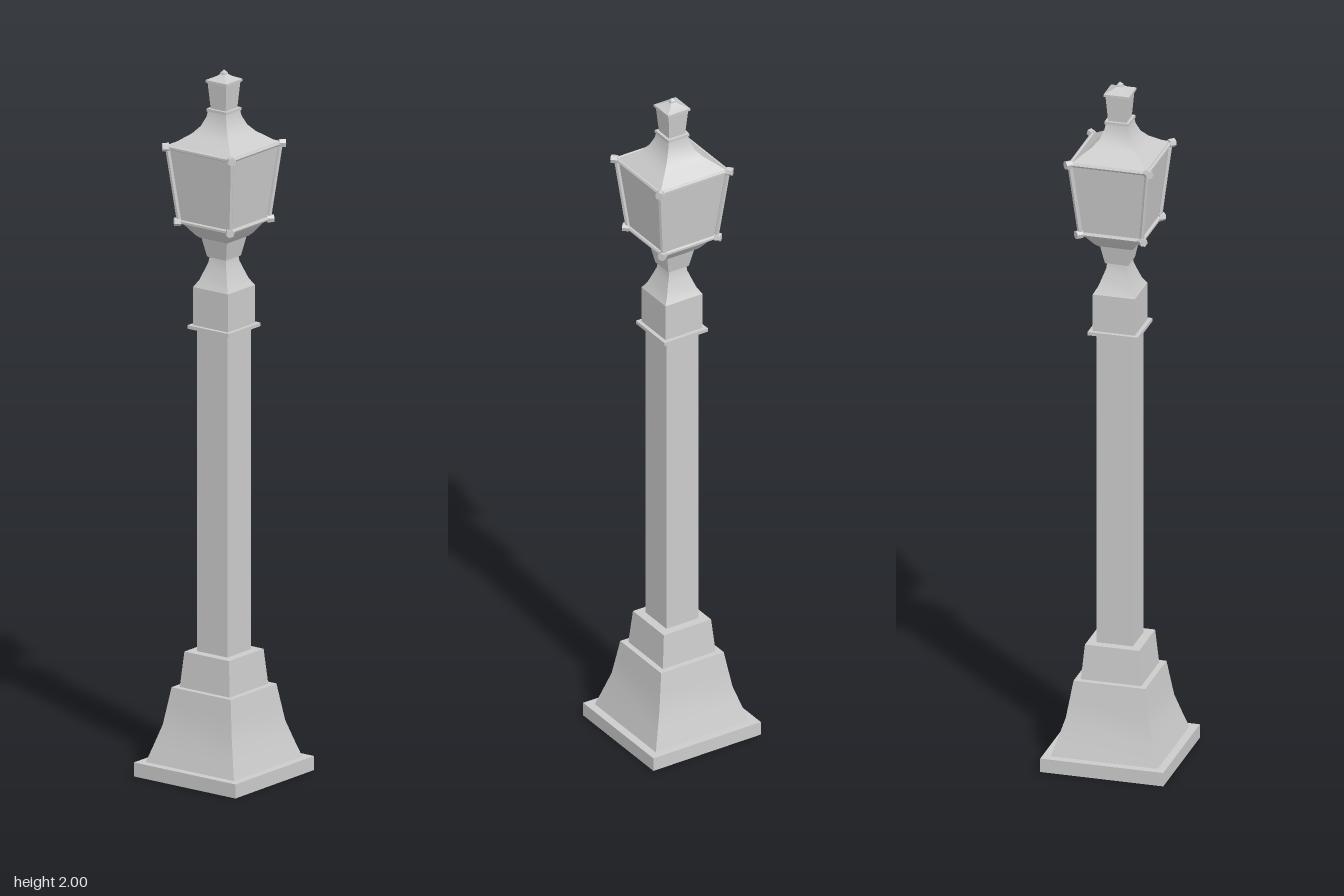
import * as THREE from 'three';
import { toCreasedNormals } from 'three/addons/utils/BufferGeometryUtils.js';

const material = new THREE.MeshStandardMaterial({ color: 0xcccccc });

function add(parent, name, geometry) {
  const mesh = new THREE.Mesh(geometry, material);
  mesh.name = name;
  parent.add(mesh);
  return mesh;
}

// Square section swept up a profile of [half width, height], closed at both ends
function squareLoft(profile) {
  const pts = profile.map(([w, y]) => new THREE.Vector2(w * Math.SQRT2, y));
  pts.unshift(new THREE.Vector2(0, pts[0].y));
  if (pts[pts.length - 1].x > 0) pts.push(new THREE.Vector2(0, pts[pts.length - 1].y));
  return toCreasedNormals(new THREE.LatheGeometry(pts, 4, Math.PI / 4), 0.5);
}

// Straight rod between two points
function rod(parent, name, a, b, radius, sides) {
  const dir = b.clone().sub(a);
  const geometry = toCreasedNormals(new THREE.CylinderGeometry(radius, radius, dir.length(), sides), 0.5);
  const mesh = add(parent, name, geometry);
  mesh.position.copy(a).lerp(b, 0.5);
  mesh.quaternion.setFromUnitVectors(new THREE.Vector3(0, 1, 0), dir.normalize());
}

export function createModel() {
  const model = new THREE.Group();
  model.name = 'lampPost';

  // Base and post
  add(model, 'plinth', squareLoft([[0.175, 0], [0.175, 0.04]]));
  add(model, 'pedestal', squareLoft([[0.152, 0.04], [0.136, 0.09], [0.119, 0.145], [0.11, 0.2], [0.102, 0.25]]));
  add(model, 'upperPedestal', squareLoft([[0.086, 0.25], [0.077, 0.35]]));
  add(model, 'post', squareLoft([[0.052, 0.35], [0.052, 1.27]]));
  add(model, 'collar', squareLoft([[0.071, 1.267], [0.071, 1.277]]));
  add(model, 'postCap', squareLoft([
    [0.06, 1.277], [0.06, 1.385], [0.048, 1.405], [0.037, 1.435], [0.03, 1.455], [0.028, 1.472],
  ]));

  // Lantern holder, body and roof
  const lantern = new THREE.Group();
  lantern.name = 'lantern';
  model.add(lantern);
  add(lantern, 'lanternNeck', squareLoft([[0.033, 1.47], [0.044, 1.525]]));
  add(lantern, 'lanternBowl', squareLoft([[0.048, 1.525], [0.056, 1.533], [0.083, 1.57]]));
  add(lantern, 'lanternPanes', squareLoft([[0.083, 1.57], [0.106, 1.785]]));
  add(lantern, 'roof', squareLoft([
    [0.108, 1.787], [0.085, 1.805], [0.062, 1.822], [0.045, 1.842], [0.034, 1.868], [0.031, 1.885],
  ]));
  add(lantern, 'chimneyLip', squareLoft([[0.034, 1.883], [0.034, 1.891]]));
  add(lantern, 'chimney', squareLoft([[0.026, 1.891], [0.032, 1.965]]));
  add(lantern, 'chimneyTop', squareLoft([
    [0.036, 1.965], [0.036, 1.972], [0.016, 1.981], [0.008, 1.987], [0.007, 1.992], [0, 2],
  ]));

  // Frame: corner bars, rails and corner knobs
  const levels = [{ y: 1.572, w: 0.087 }, { y: 1.785, w: 0.11 }];
  const corner = ({ y, w }, i) =>
    new THREE.Vector3(w, y, w).applyAxisAngle(new THREE.Vector3(0, 1, 0), i * Math.PI / 2);
  for (let i = 0; i < 4; i++) {
    rod(lantern, 'cornerBar', corner(levels[0], i), corner(levels[1], i), 0.007, 6);
    for (const level of levels) {
      rod(lantern, 'rail', corner(level, i), corner(level, i + 1), 0.006, 6);
      const inner = corner({ y: level.y, w: level.w - 0.003 }, i);
      const outer = corner({ y: level.y, w: level.w + 0.01 }, i);
      rod(lantern, 'cornerKnob', inner, outer, 0.012, 6);
    }
  }
  return model;
}
